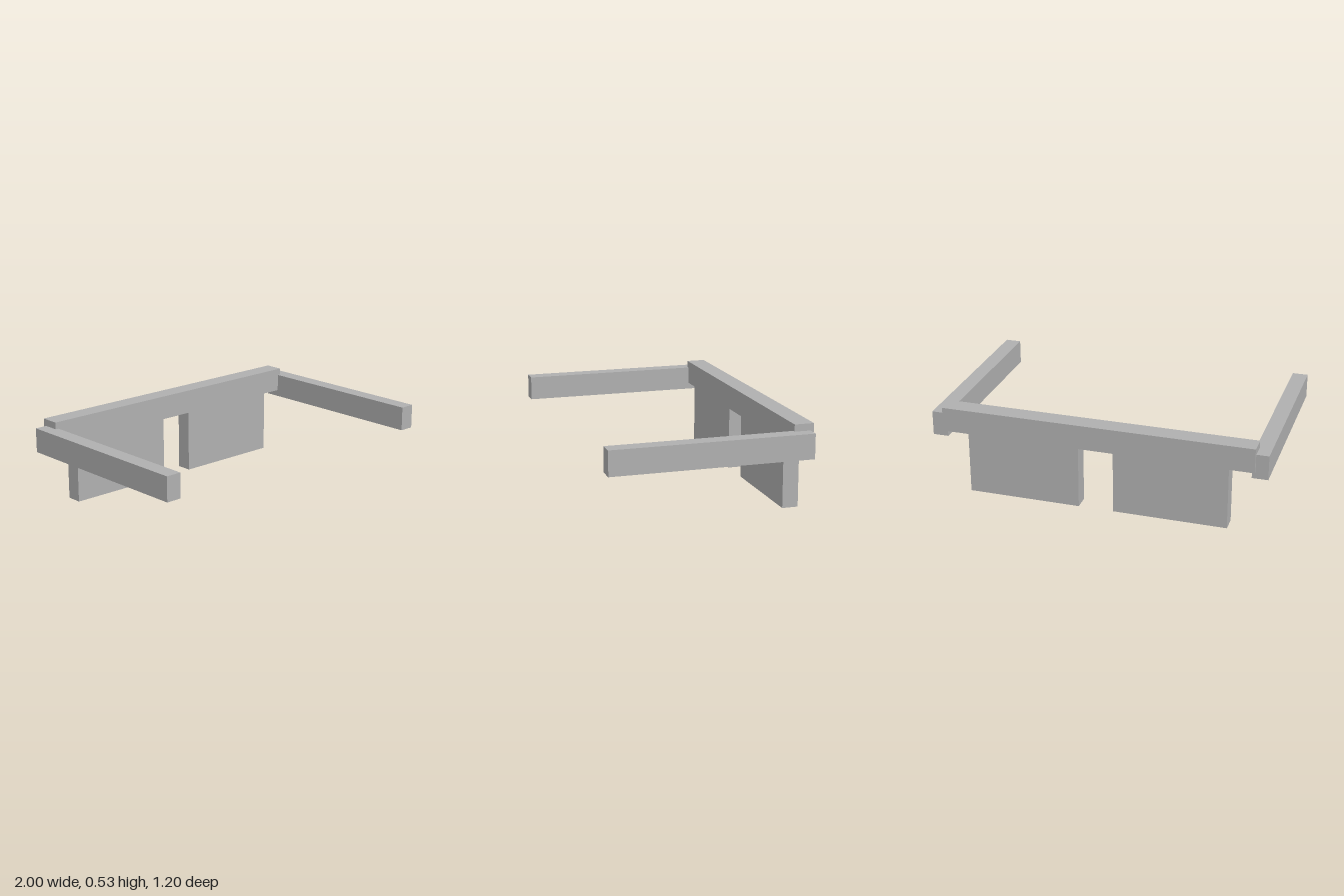
import * as THREE from 'three';

export function createModel() {
  const model = new THREE.Group();
  const grey = new THREE.MeshStandardMaterial({ color: 0xb0b0b0 });
  grey.name = 'plain grey';

  // Box given by its lowest and highest corners
  function block(name, [x0, y0, z0], [x1, y1, z1]) {
    const geometry = new THREE.BoxGeometry(x1 - x0, y1 - y0, z1 - z0);
    const mesh = new THREE.Mesh(geometry, grey);
    mesh.position.set((x0 + x1) / 2, (y0 + y1) / 2, (z0 + z1) / 2);
    mesh.name = name;
    model.add(mesh);
    return mesh;
  }

  // Long beam across the back
  block('backBeam', [-0.927, 0.381, -0.6], [0.927, 0.527, -0.485]);

  // Side arms reaching forward, and panels standing under the beam
  for (const [side, s] of [['left', 1], ['right', -1]]) {
    const arm = block(side + 'Arm', [0.907, 0.34, -0.58], [1, 0.486, 0.6]);
    const panel = block(side + 'Panel', [0.104, 0, -0.58], [0.778, 0.381, -0.485]);
    arm.position.x *= s;
    panel.position.x *= s;
  }

  return model;
}
